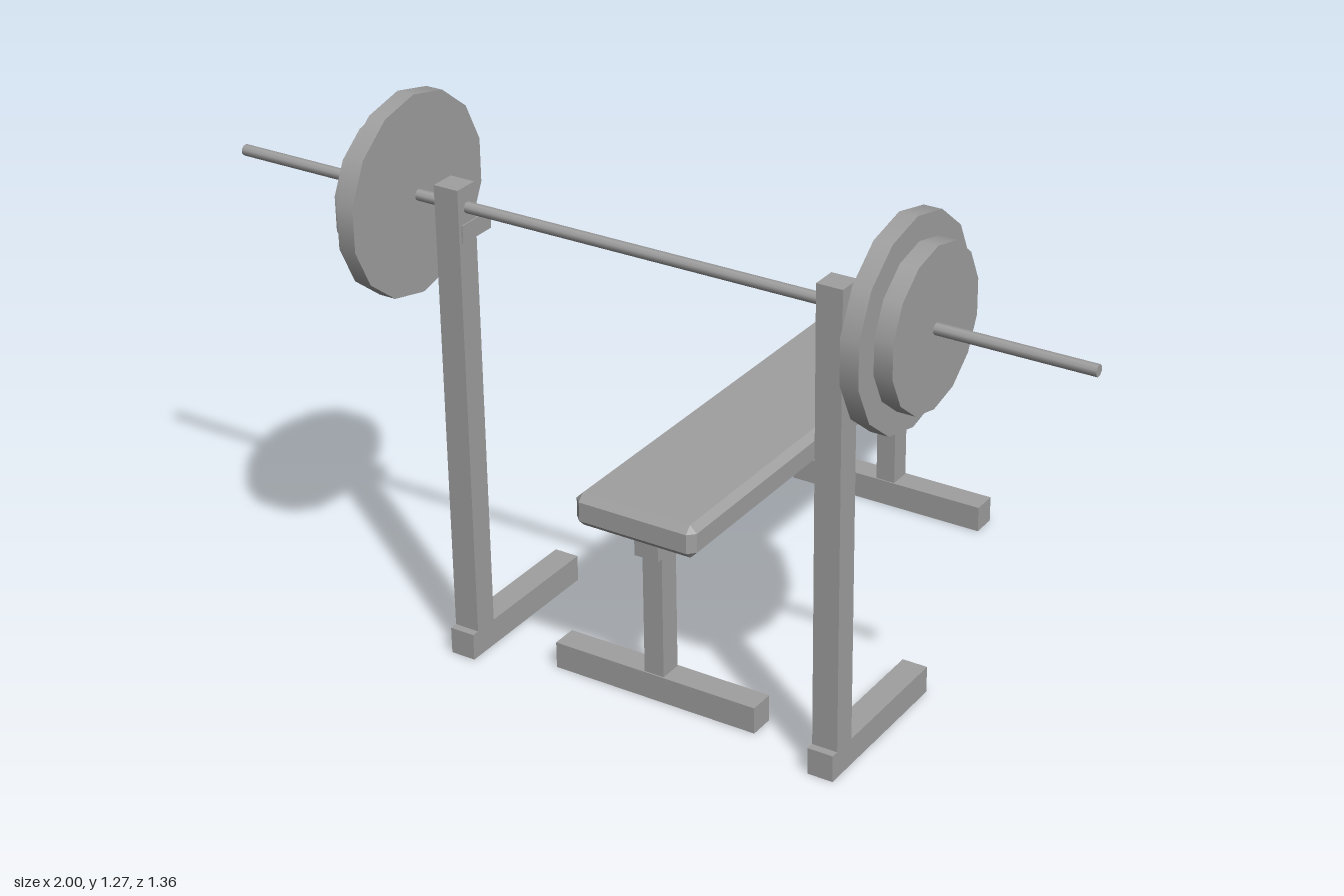
import * as THREE from 'three';
import { ConvexGeometry } from 'three/addons/geometries/ConvexGeometry.js';

export function createModel() {
  const model = new THREE.Group();
  model.name = 'weightBench';
  const grey = new THREE.MeshStandardMaterial({ color: 0xa0a0a0 });
  grey.name = 'grey';

  const add = (name, geometry, parent = model) => {
    const mesh = new THREE.Mesh(geometry, grey);
    mesh.name = name;
    parent.add(mesh);
    return mesh;
  };

  // Box given by its extents along each axis
  const box = (name, [x0, x1], [y0, y1], [z0, z1], parent) =>
    add(name, new THREE.BoxGeometry(x1 - x0, y1 - y0, z1 - z0), parent)
      .position.set((x0 + x1) / 2, (y0 + y1) / 2, (z0 + z1) / 2);

  // Box with every edge cut by a chamfer c
  const chamferedBox = (hx, hy, hz, c) => {
    const points = [];
    for (const sx of [-1, 1]) for (const sy of [-1, 1]) for (const sz of [-1, 1]) {
      points.push(
        new THREE.Vector3(sx * hx, sy * (hy - c), sz * (hz - c)),
        new THREE.Vector3(sx * (hx - c), sy * hy, sz * (hz - c)),
        new THREE.Vector3(sx * (hx - c), sy * (hy - c), sz * hz));
    }
    return new ConvexGeometry(points);
  };

  // Bench: pad, beam and two T-shaped legs
  const bench = new THREE.Group();
  bench.name = 'bench';
  model.add(bench);
  add('pad', chamferedBox(0.147, 0.038, 0.598, 0.016), bench).position.set(0, 0.452, -0.082);
  box('beam', [-0.029, 0.029], [0.355, 0.416], [-0.632, 0.466], bench);
  for (const [name, z] of [['front', 0.417], ['back', -0.58]]) {
    box(name + 'Leg', [-0.024, 0.024], [0.06, 0.356], [z - 0.027, z + 0.027], bench);
    box(name + 'Foot', [-0.25, 0.25], [0, 0.062], [z - 0.03, z + 0.03], bench);
  }

  // Rack: one upright with foot and hook on each side
  for (const [name, s] of [['left', 1], ['right', -1]]) {
    const stand = new THREE.Group();
    stand.name = name + 'Stand';
    model.add(stand);
    const span = (a, b) => (s > 0 ? [a, b] : [-b, -a]);
    box('upright', span(0.42, 0.479), [0.06, 1.1], [0.44, 0.498], stand);
    box('foot', span(0.42, 0.479), [0, 0.062], [0.118, 0.516], stand);
    box('hook', span(0.417, 0.476), [0.98, 1.02], [0.393, 0.49], stand);
  }

  // Barbell: bar and two plates at each end
  const barbell = new THREE.Group();
  barbell.name = 'barbell';
  barbell.position.set(0, 1.053, 0.467);
  model.add(barbell);
  const disc = (name, radius, length, sides, x) => {
    const geometry = new THREE.CylinderGeometry(radius, radius, length, sides);
    geometry.rotateZ(Math.PI / 2);
    // Put a corner at the very top
    geometry.rotateX(sides % 4 ? 0 : Math.PI / sides);
    // Cylinder corners start on z, which rotateZ leaves in place
    if (sides % 4) geometry.rotateX(Math.PI / 2);
    add(name, geometry, barbell).position.x = x;
  };
  disc('bar', 0.0125, 2, 8, 0);
  disc('leftLargePlate', 0.22, 0.04, 14, 0.599);
  disc('leftSmallPlate', 0.17, 0.04, 14, 0.643);
  disc('rightLargePlate', 0.22, 0.04, 14, -0.563);
  disc('rightSmallPlate', 0.17, 0.04, 14, -0.607);

  return model;
}
